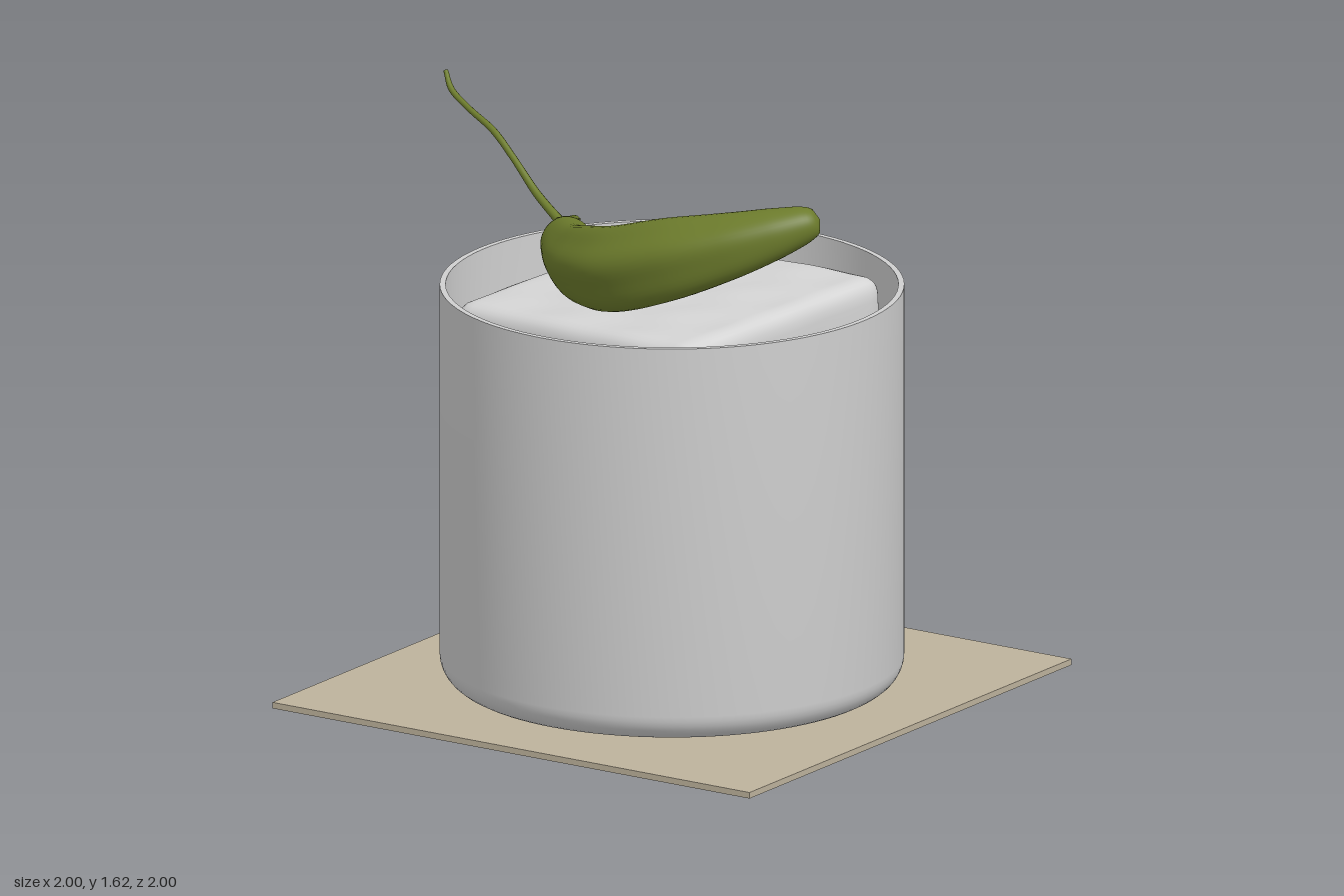
import * as THREE from 'three';
import { mergeVertices, toCreasedNormals } from 'three/addons/utils/BufferGeometryUtils.js';

const mat = (name, color, side = THREE.FrontSide) =>
  Object.assign(new THREE.MeshStandardMaterial({ color, side }), { name });

// Weld the seams and recompute smooth normals
function smooth(geo) {
  geo.deleteAttribute('uv');
  geo.deleteAttribute('normal');
  const welded = mergeVertices(geo, 1e-5);
  welded.computeVertexNormals();
  return welded;
}

// Sweep a lobed circle along rows of [x, y, z, radius]
function taperedTube(rows, steps, sides, lobe = () => 1) {
  const path = new THREE.CatmullRomCurve3(rows.map(([x, y, z]) => new THREE.Vector3(x, y, z)));
  const radii = rows.map((r) => r[3]);
  const radiusAt = (u) => {
    const f = path.getUtoTmapping(u) * (rows.length - 1);
    const i = Math.min(Math.floor(f), rows.length - 2);
    const at = (k) => radii[Math.max(0, Math.min(radii.length - 1, k))];
    const a = at(i), b = at(i + 1), s = f - i;
    const m0 = (b - at(i - 1)) / 2, m1 = (at(i + 2) - a) / 2;
    const r = (2 * s ** 3 - 3 * s ** 2 + 1) * a + (s ** 3 - 2 * s * s + s) * m0 +
      (3 * s * s - 2 * s ** 3) * b + (s ** 3 - s * s) * m1;
    return Math.max(r, 0.0005);
  };
  const geo = new THREE.TubeGeometry(path, steps, 1, sides, false);
  const pos = geo.attributes.position;
  const p = new THREE.Vector3();
  for (let i = 0; i <= steps; i++) {
    const centre = path.getPointAt(i / steps);
    const radius = radiusAt(i / steps);
    for (let j = 0; j <= sides; j++) {
      const k = i * (sides + 1) + j;
      const angle = (j % sides) / sides * Math.PI * 2;
      p.fromBufferAttribute(pos, k).sub(centre).multiplyScalar(radius * lobe(angle, i / steps)).add(centre);
      pos.setXYZ(k, p.x, p.y, p.z);
    }
  }
  return smooth(geo);
}

// Softly dented block with rounded edges
function iceGeometry(w, h, d, r) {
  const geo = new THREE.BoxGeometry(w, h, d, 40, 40, 40);
  const pos = geo.attributes.position;
  const half = new THREE.Vector3(w / 2 - r, h / 2 - r, d / 2 - r);
  const p = new THREE.Vector3(), core = new THREE.Vector3();
  for (let i = 0; i < pos.count; i++) {
    p.fromBufferAttribute(pos, i);
    core.copy(p).clamp(half.clone().negate(), half);
    const dent = 0.002 * Math.sin(p.x * 22) * Math.sin(p.y * 22 + 1) +
      0.002 * Math.sin(p.z * 24) * Math.cos(p.x * 20);
    p.sub(core).setLength(r + dent).add(core);
    pos.setXYZ(i, p.x, p.y, p.z);
  }
  return smooth(geo);
}

export function createModel() {
  const model = new THREE.Group();
  const add = (name, geo, material) => {
    const mesh = new THREE.Mesh(geo, material);
    mesh.name = name;
    model.add(mesh);
    return mesh;
  };
  const coasterTan = mat('coasterTan', 0xbdb29c);
  const glassGrey = mat('glassGrey', 0xcfcfcf);
  const iceWhite = mat('iceWhite', 0xd4d4d4);
  const drinkOrange = mat('drinkOrange', 0xd08840);
  const pepperGreen = mat('pepperGreen', 0x6c7b2c, THREE.DoubleSide);

  // Square coaster, turned slightly
  const coaster = add('coaster', new THREE.BoxGeometry(1.647, 0.018, 1.647), coasterTan);
  coaster.position.y = 0.009;
  coaster.rotation.y = 0.248;

  // Tumbler with a rounded foot and a thin wall
  const profile = [new THREE.Vector2(0, 0.022)];
  const arc = (cx, cy, r, from, to) => {
    for (let i = 0; i <= 8; i++) {
      const a = from + (to - from) * i / 8;
      profile.push(new THREE.Vector2(cx + Math.cos(a) * r, cy + Math.sin(a) * r));
    }
  };
  arc(0.585, 0.102, 0.08, -Math.PI / 2, 0);
  profile.push(new THREE.Vector2(0.665, 1.2), new THREE.Vector2(0.648, 1.2));
  arc(0.585, 0.113, 0.063, 0, -Math.PI / 2);
  profile.push(new THREE.Vector2(0, 0.05));
  add('glass', toCreasedNormals(new THREE.LatheGeometry(profile, 96), 0.6), glassGrey);

  // Drink filling the lower part of the glass
  const drink = add('drink', new THREE.CylinderGeometry(0.647, 0.647, 0.58, 96), drinkOrange);
  drink.position.y = 0.41;

  // Large ice cube, a little tilted
  const ice = add('iceCube', iceGeometry(0.89, 0.88, 0.88, 0.055), iceWhite);
  ice.position.set(-0.01, 0.742, -0.02);
  ice.rotation.set(0.035, 0.13, 0.033, 'YXZ');

  // Curved pepper with lengthwise furrows
  const pepperRows = [
    [-0.392, 1.275, 0.055, 0], [-0.375, 1.273, 0.07, 0.058], [-0.34, 1.272, 0.1, 0.074],
    [-0.26, 1.278, 0.16, 0.082], [-0.14, 1.288, 0.235, 0.097], [0, 1.312, 0.3, 0.111],
    [0.17, 1.347, 0.34, 0.12], [0.35, 1.408, 0.305, 0.116], [0.5, 1.464, 0.225, 0.096],
    [0.6, 1.508, 0.14, 0.074], [0.655, 1.535, 0.077, 0.054], [0.675, 1.545, 0.05, 0.036],
    [0.682, 1.549, 0.041, 0],
  ];
  add('pepper', taperedTube(pepperRows, 110, 48, (a, u) =>
    1 + 0.055 * Math.sin(Math.PI * u) * Math.cos(5 * a + 0.8) +
    0.02 * Math.sin(Math.PI * u) * Math.cos(3 * a + u * 2)), pepperGreen);

  // Thin bending stem
  const stemRows = [
    [-0.375, 1.285, 0.06, 0.026], [-0.42, 1.308, 0.056, 0.015], [-0.53, 1.362, 0.044, 0.012],
    [-0.64, 1.44, 0.034, 0.01], [-0.74, 1.5, 0.023, 0.01], [-0.86, 1.538, 0.01, 0.009],
    [-0.95, 1.575, -0.002, 0.009], [-0.995, 1.615, -0.021, 0.007],
  ];
  add('stem', taperedTube(stemRows, 60, 10), pepperGreen);

  // Small leaf tips around the base of the stem
  const crown = new THREE.Group();
  crown.name = 'crown';
  for (let i = 0; i < 6; i++) {
    const a = i / 6 * Math.PI * 2;
    const c = Math.cos(a), s = Math.sin(a);
    const leaf = new THREE.Mesh(taperedTube([
      [0, 0.03, 0, 0.008], [c * 0.03, 0.02, s * 0.03, 0.011],
      [c * 0.05, 0.002, s * 0.05, 0.008], [c * 0.066, -0.03, s * 0.066, 0.001],
    ], 10, 8), pepperGreen);
    leaf.name = 'crownLeaf';
    crown.add(leaf);
  }
  crown.position.set(-0.385, 1.283, 0.06);
  crown.quaternion.setFromUnitVectors(new THREE.Vector3(0, 1, 0), new THREE.Vector3(-0.8, 0.25, -0.4).normalize());
  model.add(crown);

  return model;
}
